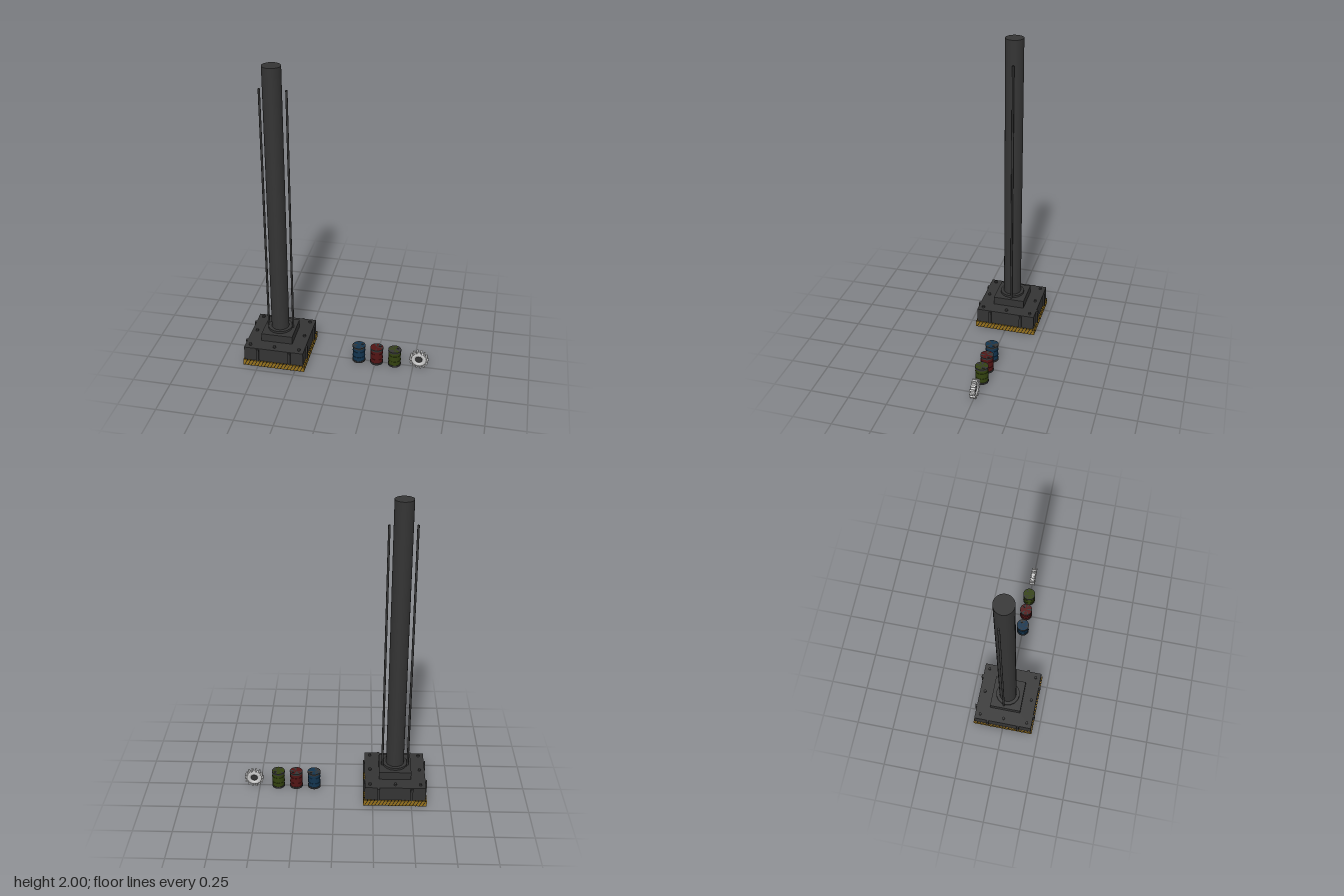
import * as THREE from 'three';

const mat = (name, color) => {
  const m = new THREE.MeshStandardMaterial({ color });
  m.name = name;
  return m;
};

export function createModel() {
  const root = new THREE.Group();
  const dark = mat('dark steel', 0x343434);
  const black = mat('stripe black', 0x1c1a16);
  const yellow = mat('hazard yellow', 0x94701c);
  const light = mat('light rubber', 0xc8c8c8);
  const paints = [mat('barrel blue', 0x12344f), mat('barrel red', 0x521414), mat('barrel green', 0x33420f)];

  const add = (parent, name, geo, material, x = 0, y = 0, z = 0) => {
    const m = new THREE.Mesh(geo, material);
    m.name = name;
    m.position.set(x, y, z);
    parent.add(m);
    return m;
  };
  const box = (w, h, d) => new THREE.BoxGeometry(w, h, d);
  const cyl = (r, h, n = 24) => new THREE.CylinderGeometry(r, r, h, n);

  // Tower: plinth, pedestal, collar and pillar
  const tower = new THREE.Group();
  tower.name = 'tower';
  tower.position.x = -0.394;
  root.add(tower);
  add(tower, 'hazardBand', box(0.41, 0.04, 0.41), yellow, 0, 0.02, 0);
  add(tower, 'plinth', box(0.394, 0.096, 0.394), dark, 0, 0.088, 0);
  add(tower, 'pedestal', box(0.208, 0.054, 0.208), dark, 0, 0.163, 0);
  add(tower, 'collar', cyl(0.08, 0.015, 16), dark, 0, 0.1975, 0);
  add(tower, 'pillar', cyl(0.058, 1.8, 32), dark, 0, 1.1, 0);

  // Slanted stripe used around the hazard band
  const stripe = new THREE.Shape();
  stripe.moveTo(-0.013, 0);
  stripe.lineTo(-0.008, 0);
  stripe.lineTo(0.013, 0.04);
  stripe.lineTo(0.008, 0.04);
  const stripeGeo = new THREE.ShapeGeometry(stripe);

  // Each side carries stripes and two ribs
  for (let s = 0; s < 4; s++) {
    const side = new THREE.Group();
    side.name = 'plinthSide';
    side.rotation.y = s * Math.PI / 2;
    tower.add(side);
    for (let i = 0; i < 18; i++) {
      const x = -0.187 + i * 0.022;
      add(side, 'hazardStripe', stripeGeo, black, x, 0, 0.2056);
      add(side, 'rimStripe', box(0.006, 0.001, 0.008), black, x + 0.01, 0.0402, 0.201);
    }
    for (const x of [-0.106, 0.106]) {
      add(side, 'rib', box(0.016, 0.09, 0.014), dark, x, 0.088, 0.201);
    }
  }

  // Anchor bolts around the plinth top
  for (let i = -1; i <= 1; i++) {
    for (let j = -1; j <= 1; j++) {
      if (i || j) add(tower, 'bolt', cyl(0.0095, 0.014, 10), dark, i * 0.163, 0.141, j * 0.163);
    }
  }

  // Rods beside the pillar
  for (const s of [-1, 1]) {
    add(tower, 'rod', cyl(0.007, 1.66, 12), dark, s * 0.083, 1.02, -0.013);
  }

  // Barrels with rolled hoops, dark lids and a bung
  paints.forEach((paint, i) => {
    const barrel = new THREE.Group();
    barrel.name = 'barrel';
    barrel.position.x = 0.138 + i * 0.119;
    root.add(barrel);
    add(barrel, 'body', cyl(0.04, 0.114), paint, 0, 0.06, 0);
    for (const y of [0.04, 0.08]) add(barrel, 'hoop', cyl(0.042, 0.005), paint, 0, y, 0);
    for (const y of [0.006, 0.111]) add(barrel, 'lid', cyl(0.043, 0.012), dark, 0, y, 0);
    add(barrel, 'bung', cyl(0.007, 0.005, 10), dark, 0.02, 0.1185, -0.015);
  });

  // Standing wheel with a rounded tyre, tread lugs and a dark hub
  const wheel = new THREE.Group();
  wheel.name = 'wheel';
  wheel.position.set(0.537, 0.062, 0);
  root.add(wheel);
  const profile = [[0.023, -0.008], [0.03, -0.015], [0.042, -0.016], [0.05, -0.011], [0.052, 0],
    [0.05, 0.011], [0.042, 0.016], [0.03, 0.015], [0.023, 0.008], [0.023, -0.008]]
    .map(([r, y]) => new THREE.Vector2(r, y));
  add(wheel, 'tyre', new THREE.LatheGeometry(profile, 32), light).rotation.x = Math.PI / 2;
  add(wheel, 'hub', cyl(0.0235, 0.014, 20), dark).rotation.x = Math.PI / 2;
  for (let i = 0; i < 14; i++) {
    const a = i * Math.PI / 7;
    const lug = add(wheel, 'treadLug', box(0.014, 0.01, 0.036), light, Math.cos(a) * 0.055, Math.sin(a) * 0.055, 0);
    lug.rotation.z = a;
  }
  return root;
}
